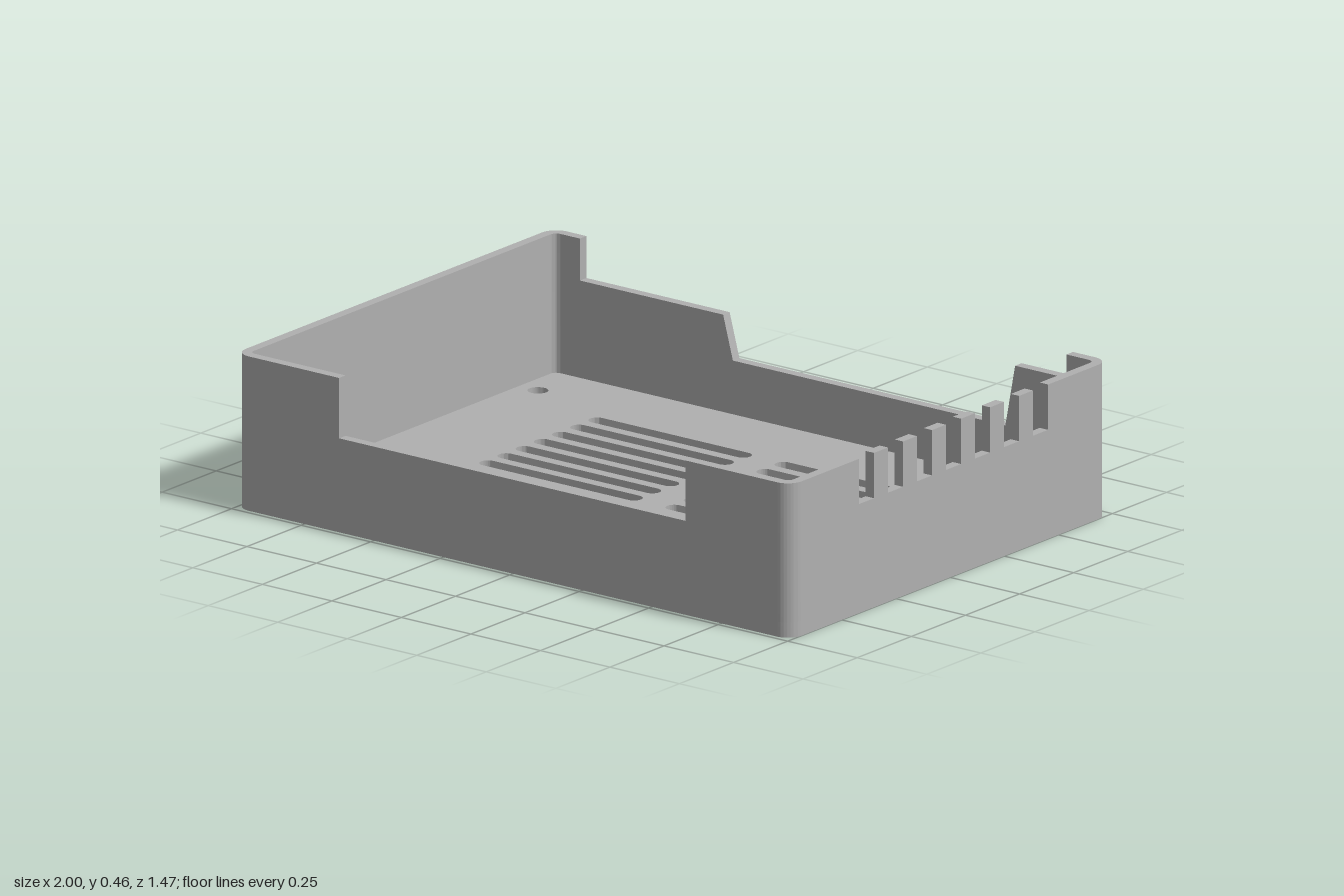
import * as THREE from 'three';
import { toCreasedNormals } from 'three/addons/utils/BufferGeometryUtils.js';

const X = 1, Z = 0.735, H = 0.46;      // half width, half depth, height
const WALL = 0.03, FLOOR = 0.045, R = 0.05;

// rounded rectangle given by its edges, r = corner radius
function roundedRect(path, x0, x1, y0, y1, r) {
  path.moveTo(x0 + r, y0);
  path.lineTo(x1 - r, y0);
  path.absarc(x1 - r, y0 + r, r, -Math.PI / 2, 0, false);
  path.absarc(x1 - r, y1 - r, r, 0, Math.PI / 2, false);
  path.absarc(x0 + r, y1 - r, r, Math.PI / 2, Math.PI, false);
  path.absarc(x0 + r, y0 + r, r, Math.PI, Math.PI * 1.5, false);
  path.closePath();
  return path;
}

function extrude(shape, depth) {
  return new THREE.ExtrudeGeometry(shape, { depth, bevelEnabled: false, curveSegments: 12 });
}

// wall outline: straight base, given points along the top from left to right
function wallShape(half, top) {
  const pts = [[-half, FLOOR], [half, FLOOR], [half, H], ...top.slice().reverse(), [-half, H]];
  return new THREE.Shape(pts.map(([x, y]) => new THREE.Vector2(x, y)));
}

export function createModel() {
  const group = new THREE.Group();
  group.name = 'enclosureHalf';
  const plastic = new THREE.MeshStandardMaterial({ color: 0xb0b0b0 });
  plastic.name = 'grey plastic';

  const add = (name, geometry) => {
    const mesh = new THREE.Mesh(toCreasedNormals(geometry, 0.6), plastic);
    mesh.name = name;
    group.add(mesh);
    return mesh;
  };

  // floor with vent slots, a long opening and screw holes
  const floor = roundedRect(new THREE.Shape(), -X, X, -Z, Z, R);
  for (let i = 0; i < 11; i++) {
    const z = -0.425 + i * 0.084;
    for (const [x0, x1] of [[-0.625, -0.05], [0.045, 0.62]]) {
      floor.holes.push(roundedRect(new THREE.Path(), x0, x1, z - 0.025, z + 0.025, 0.0249));
    }
  }
  floor.holes.push(roundedRect(new THREE.Path(), 0.667, 0.872, -0.487, 0.587, 0.025));
  for (const x of [-0.903, 0.903]) {
    for (const z of [-0.54, 0.637]) {
      floor.holes.push(new THREE.Path().absarc(x, z, 0.03, 0, Math.PI * 2, false));
    }
  }
  add('floor', extrude(floor, FLOOR).rotateX(Math.PI / 2).translate(0, FLOOR, 0));

  // front wall with one wide cutout
  const front = wallShape(X - R, [[-0.625, H], [-0.625, 0.28], [0.62, 0.28], [0.62, H]]);
  add('frontWall', extrude(front, WALL).translate(0, 0, Z - WALL));

  // back wall with stepped, slanted cutout
  const back = wallShape(X - R, [
    [-0.88, H], [-0.88, 0.335], [-0.365, 0.335], [-0.33, 0.205],
    [0.65, 0.205], [0.685, 0.39], [0.87, 0.39], [0.87, H],
  ]);
  add('backWall', extrude(back, WALL).translate(0, 0, -Z));

  // plain wall on the -x side
  add('plainSideWall', extrude(wallShape(Z - R, []), WALL)
    .rotateY(Math.PI / 2).translate(-X, 0, 0));

  // comb wall on the +x side, seven open slots
  const comb = [];
  for (let i = 0; i < 7; i++) {
    const c = -0.386 + i * 0.134, w = 0.035;
    comb.push([c - w, H], [c - w, 0.325], [c + w, 0.325], [c + w, H]);
  }
  add('combSideWall', extrude(wallShape(Z - R, comb), WALL)
    .rotateY(Math.PI / 2).translate(X - WALL, 0, 0));

  // rounded corner posts
  [[1, 1], [-1, 1], [-1, -1], [1, -1]].forEach(([sx, sz], i) => {
    const a = i * Math.PI / 2;
    const post = new THREE.Shape();
    post.absarc(0, 0, R, a, a + Math.PI / 2, false);
    post.absarc(0, 0, R - WALL, a + Math.PI / 2, a, true);
    post.closePath();
    add('cornerPost', extrude(post, H - FLOOR).rotateX(Math.PI / 2)
      .translate(sx * (X - R), H, sz * (Z - R)));
  });

  return group;
}
